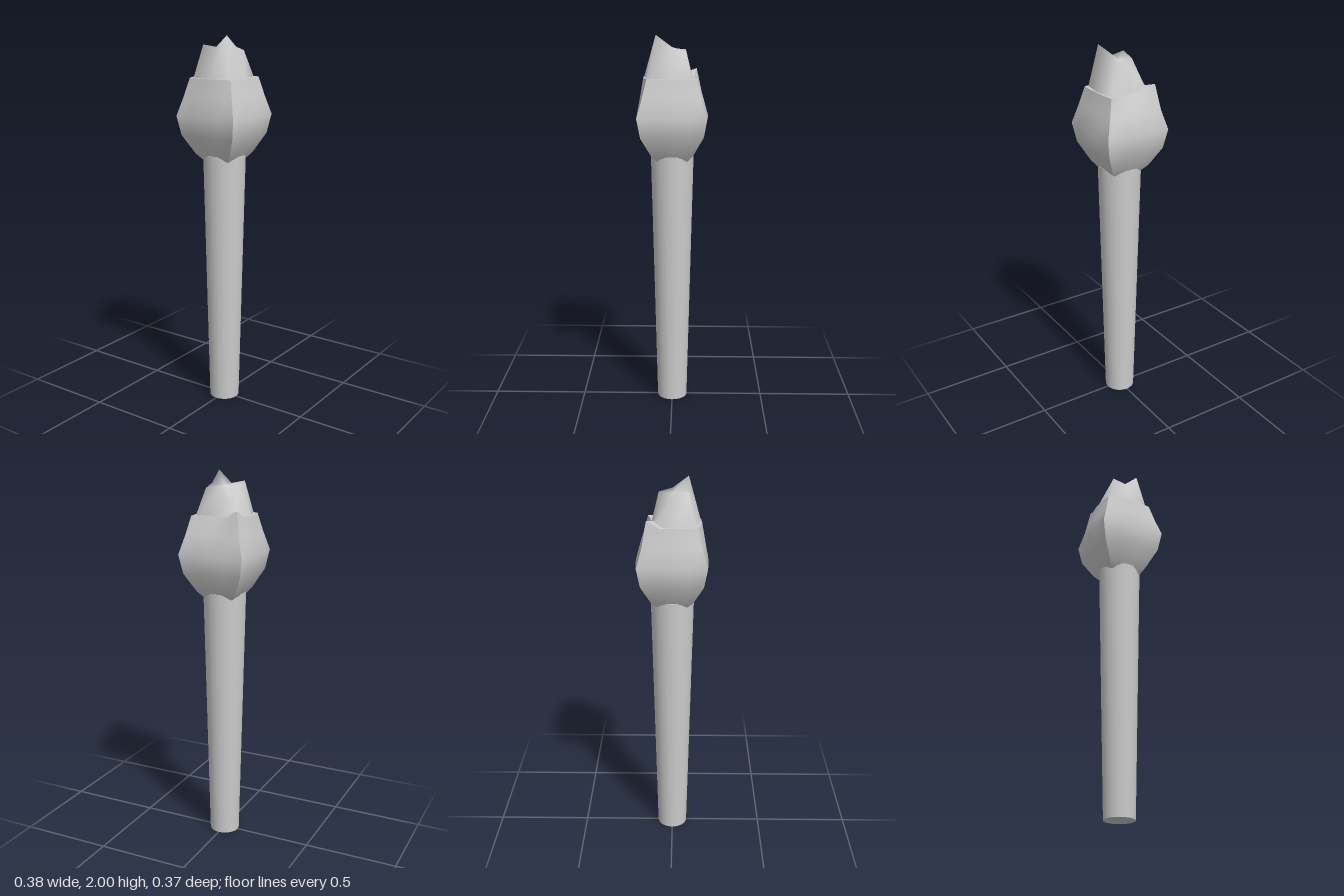
import * as THREE from 'three';

const material = new THREE.MeshStandardMaterial({ color: 0xcccccc, side: THREE.DoubleSide });

function buildMesh(name, points, faces) {
  const g = new THREE.BufferGeometry();
  g.setAttribute('position', new THREE.Float32BufferAttribute(points.flat(), 3));
  g.setIndex(faces);
  g.computeVertexNormals();
  const mesh = new THREE.Mesh(g, material);
  mesh.name = name;
  return mesh;
}

// Joins equal rows of points, bottom to top, into outward-facing triangles
function gridFaces(rows, cols, closed) {
  const faces = [];
  for (let r = 0; r < rows - 1; r++) {
    for (let c = 0; c < (closed ? cols : cols - 1); c++) {
      const n = (c + 1) % cols;
      const a = r * cols + c, b = r * cols + n;
      faces.push(a, b, b + cols, a, b + cols, a + cols);
    }
  }
  return faces;
}

// Flame body rings: height, corner half-width, bulge of [front, +x, back, -x]
const RINGS = [
  [1.35, 0.075, [0.01, 0.01, 0.01, 0.01]],
  [1.39, 0.108, [0.004, 0.006, 0.004, 0.006]],
  [1.49, 0.16, [0.008, 0.014, 0.008, 0.014]],
  [1.59, 0.178, [0.006, 0.013, 0.008, 0.016]],
  [1.69, 0.15, [0.016, 0.008, 0.008, 0.014]],
  [1.785, 0.127, [0.022, 0.008, -0.02, 0.018]],
];

function ringPoint([y, half, bulge], side, u) {
  let x = u * half, z = half + bulge[side] * (1 - u * u);
  for (let k = 0; k < side; k++) [x, z] = [z, -x];
  // the back corner on the -x side rises to a small tip
  const tip = y > 1.75 && x < -0.12 && z < -0.12 ? 0.035 : 0;
  return [x, y + tip, z];
}

function flameBody() {
  const group = new THREE.Group();
  group.name = 'flameBody';
  const us = [-1, -0.5, 0, 0.5, 1];
  const rim = [];
  // Four bulging panels with sharp edges between them
  for (let side = 0; side < 4; side++) {
    const pts = RINGS.flatMap((ring) => us.map((u) => ringPoint(ring, side, u)));
    group.add(buildMesh('flamePanel', pts, gridFaces(RINGS.length, us.length, false)));
    rim.push(...pts.slice(-us.length, -1));
  }
  // Shoulder closing the top of the panels
  const faces = rim.flatMap((_, i) => [i, (i + 1) % rim.length, rim.length]);
  group.add(buildMesh('flameShoulder', [...rim, [0, 1.785, 0]], faces));
  return group;
}

// Ragged crown of the flame: foot ring, tip ring and a centre point
function flameCrown() {
  const foot = [
    [-0.112, 1.77, 0.122], [0, 1.77, 0.149], [0.112, 1.77, 0.122], [0.135, 1.77, 0],
    [0.118, 1.77, -0.105], [0, 1.77, -0.108], [-0.105, 1.77, -0.1], [-0.145, 1.77, 0],
  ];
  const tips = [
    [-0.075, 1.95, 0.08], [0, 1.935, 0.08], [0.072, 2, 0.082], [0.072, 1.94, 0],
    [0.072, 1.92, -0.07], [0, 1.925, -0.07], [-0.072, 1.845, -0.072], [-0.072, 1.93, 0],
  ];
  const faces = gridFaces(2, 8, true);
  for (let i = 0; i < 8; i++) faces.push(8 + i, 8 + (i + 1) % 8, 16);
  return buildMesh('flameCrown', [...foot, ...tips, [0, 1.93, 0]], faces);
}

export function createModel() {
  const group = new THREE.Group();
  group.name = 'torch';

  // Tapered handle, wider at the top
  const handle = new THREE.Mesh(new THREE.CylinderGeometry(0.113, 0.081, 1.385, 24), material);
  handle.position.y = 1.385 / 2;
  handle.name = 'handle';

  group.add(handle, flameBody(), flameCrown());
  return group;
}
